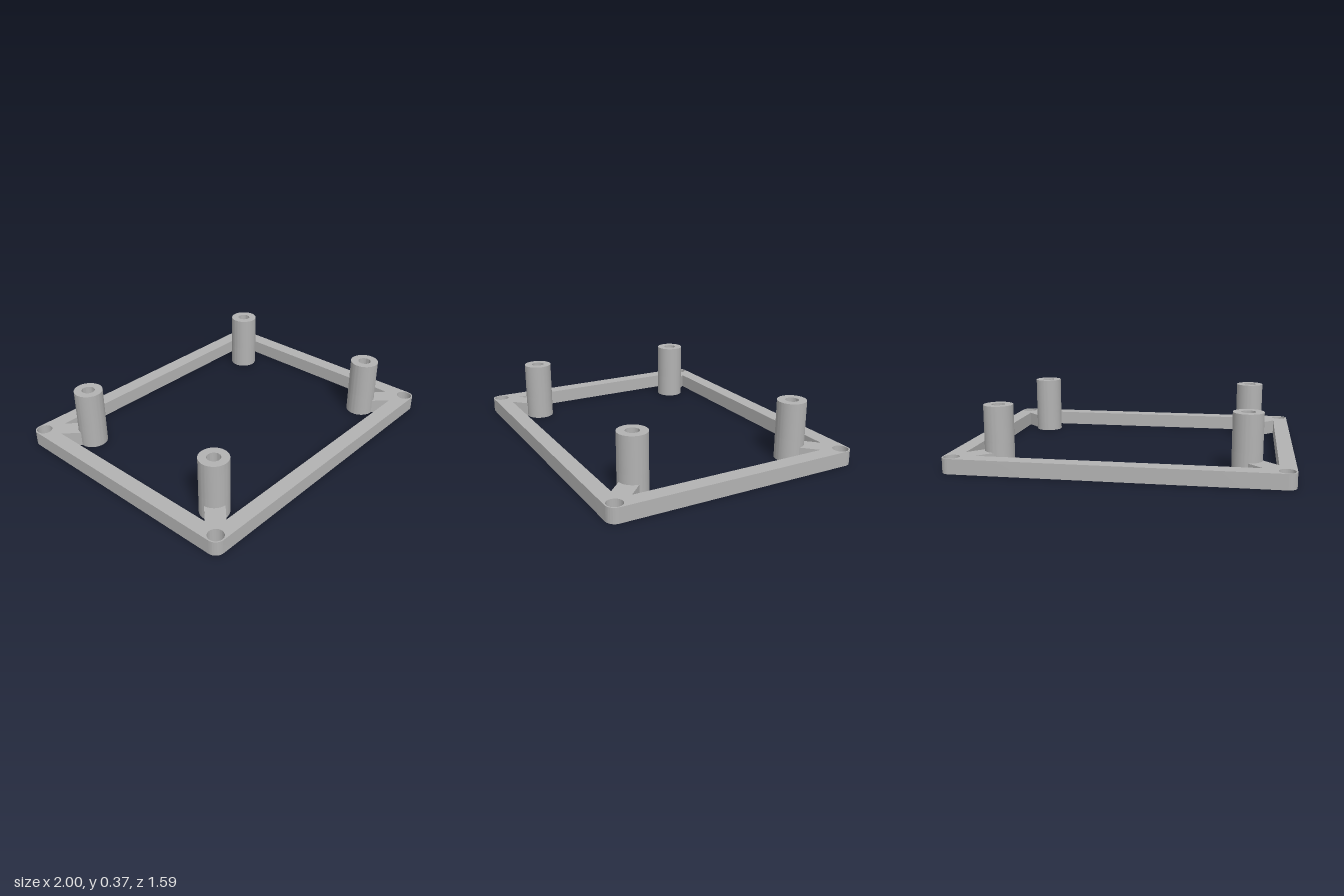
import * as THREE from 'three';
import { toCreasedNormals } from 'three/addons/utils/BufferGeometryUtils.js';

const OUT_X = 1, OUT_Z = 0.793, IN_X = 0.905, IN_Z = 0.698;
const FRAME_H = 0.09, POCKET_H = 0.145, POST_H = 0.365;
const POST_X = 0.73, POST_Z = 0.528, POST_R = 0.088, BORE_R = 0.04, HEX_R = 0.072;
const CORNER_R = 0.055, SCREW_R = 0.047, STRUT_HALF = 0.058;

// Extrude a plan outline upwards from y0 to y1
function slab(shape, y0, y1) {
  let geo = new THREE.ExtrudeGeometry(shape, { depth: y1 - y0, bevelEnabled: false, curveSegments: 40 });
  geo.rotateX(-Math.PI / 2).translate(0, y0, 0);
  return toCreasedNormals(geo, Math.PI / 6);
}

function circle(Type, x, y, r) {
  const c = new Type();
  c.absarc(x, y, r, 0, Math.PI * 2, false);
  return c;
}

// One corner of the inner opening: strut side, hollow strut end, other strut side
function cornerNotch() {
  const d = POST_X - POST_Z, w = STRUT_HALF * Math.SQRT2, half = Math.asin(STRUT_HALF / POST_R);
  const pts = [new THREE.Vector2(IN_X, IN_X - d - w)];
  for (let i = 0; i <= 12; i++) {
    const a = Math.PI / 4 - half + (2 * half * i) / 12;
    pts.push(new THREE.Vector2(POST_X + POST_R * Math.cos(a), POST_Z + POST_R * Math.sin(a)));
  }
  pts.push(new THREE.Vector2(IN_Z + d - w, IN_Z));
  return pts;
}

// Rectangular frame with rounded corners, diagonal struts and screw holes
function frameShape() {
  const s = new THREE.Shape(), r = CORNER_R, q = Math.PI / 2;
  s.absarc(OUT_X - r, OUT_Z - r, r, 0, q, false);
  s.absarc(-OUT_X + r, OUT_Z - r, r, q, 2 * q, false);
  s.absarc(-OUT_X + r, -OUT_Z + r, r, 2 * q, 3 * q, false);
  s.absarc(OUT_X - r, -OUT_Z + r, r, 3 * q, 4 * q, false);
  s.closePath();

  const opening = [];
  for (const [sx, sy] of [[1, 1], [-1, 1], [-1, -1], [1, -1]]) {
    const pts = cornerNotch().map(p => new THREE.Vector2(p.x * sx, p.y * sy));
    if (sx * sy < 0) pts.reverse();
    opening.push(...pts);
    s.holes.push(circle(THREE.Path, sx * 0.945, sy * (OUT_Z - 0.055), SCREW_R));
  }
  s.holes.push(new THREE.Path(opening));
  return s;
}

// Standoff post: hexagonal nut pocket below, round bore above
function standoff(material) {
  const group = new THREE.Group();
  const lower = circle(THREE.Shape, 0, 0, POST_R);
  const hex = [];
  for (let i = 0; i < 6; i++) {
    const a = (i * Math.PI) / 3;
    hex.push(new THREE.Vector2(HEX_R * Math.cos(a), HEX_R * Math.sin(a)));
  }
  lower.holes.push(new THREE.Path([...hex, hex[0].clone()]));
  const upper = circle(THREE.Shape, 0, 0, POST_R);
  upper.holes.push(circle(THREE.Path, 0, 0, BORE_R));

  const nutPocket = new THREE.Mesh(slab(lower, 0, POCKET_H), material);
  nutPocket.name = 'nutPocket';
  const boredPost = new THREE.Mesh(slab(upper, POCKET_H, POST_H), material);
  boredPost.name = 'boredPost';
  group.add(nutPocket, boredPost);
  return group;
}

export function createModel() {
  const model = new THREE.Group();
  model.name = 'mountingFrame';
  const grey = new THREE.MeshStandardMaterial({ color: 0xb2b2b2 });
  grey.name = 'grey';

  const frame = new THREE.Mesh(slab(frameShape(), 0, FRAME_H), grey);
  frame.name = 'frame';
  model.add(frame);

  // Four standoffs, one inside each corner
  for (const sx of [1, -1]) {
    for (const sz of [1, -1]) {
      const post = standoff(grey);
      post.name = `${sz > 0 ? 'front' : 'back'}${sx > 0 ? 'Left' : 'Right'}Standoff`;
      post.position.set(sx * POST_X, 0, sz * POST_Z);
      model.add(post);
    }
  }
  return model;
}
